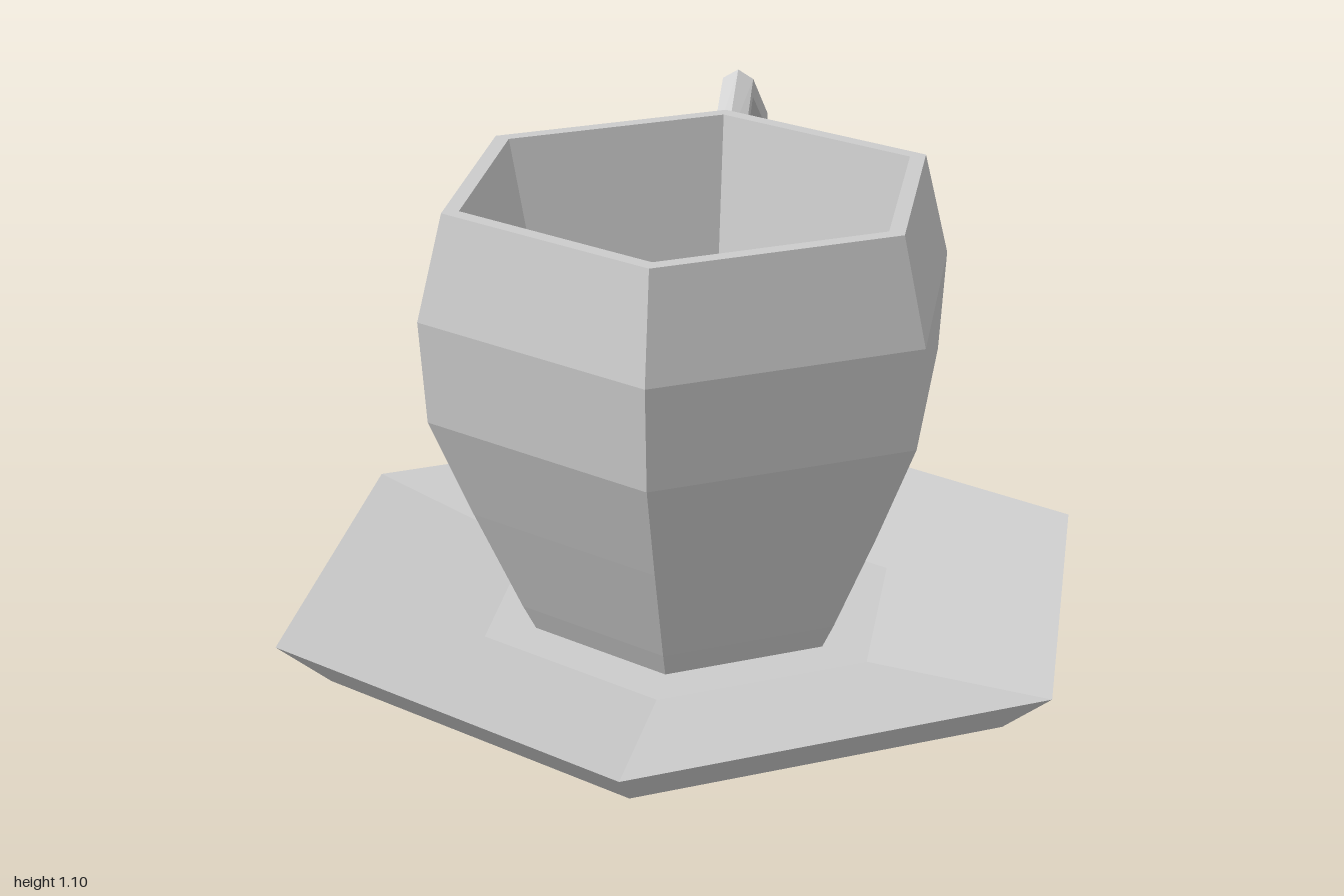
import * as THREE from 'three';

const SIDES = 6;
const CENTRE_Z = 0.015;
const material = new THREE.MeshStandardMaterial({ color: 0xcccccc, flatShading: true });

function addMesh(group, name, geometry) {
  const mesh = new THREE.Mesh(geometry, material);
  mesh.name = name;
  group.add(mesh);
  return mesh;
}

// Six-sided turned solid from a [radius, y] profile, with a corner facing +z
function turned(profile) {
  return new THREE.LatheGeometry(profile.map(([r, y]) => new THREE.Vector2(r, y)), SIDES);
}

// Hexagonal bar through stations of [outer z, outer y, inner z, inner y, half width]
function bar(stations) {
  const positions = [];
  const indices = [];
  for (const [oz, oy, iz, iy, w] of stations) {
    for (let k = 0; k < SIDES; k++) {
      const a = (k / SIDES) * Math.PI * 2;
      const t = (1 - Math.cos(a)) / 2;
      positions.push(
        (w * Math.sin(a)) / Math.sin(Math.PI / 3),
        oy + (iy - oy) * t,
        oz + (iz - oz) * t
      );
    }
  }
  const last = (stations.length - 1) * SIDES;
  for (let s = 0; s < last; s += SIDES) {
    for (let k = 0; k < SIDES; k++) {
      const n = (k + 1) % SIDES;
      indices.push(s + k, s + n, s + SIDES + n, s + k, s + SIDES + n, s + SIDES + k);
    }
  }
  // End caps
  for (let k = 1; k < SIDES - 1; k++) {
    indices.push(0, k + 1, k, last, last + k, last + k + 1);
  }
  const geometry = new THREE.BufferGeometry();
  geometry.setAttribute('position', new THREE.Float32BufferAttribute(positions, 3));
  geometry.setIndex(indices);
  geometry.computeVertexNormals();
  return geometry;
}

export function createModel() {
  const group = new THREE.Group();
  group.name = 'cupAndSaucer';

  // Saucer: flat foot, flared edge, shallow dished top
  addMesh(group, 'saucer', turned([
    [0, 0], [0.86, 0], [0.982, 0.105], [0.5, 0.045], [0, 0.045],
  ])).position.z = CENTRE_Z;

  // Cup: rounded outer wall, flat rim, tapered hollow
  addMesh(group, 'cup', turned([
    [0, 0.04], [0.375, 0.04], [0.408, 0.105], [0.518, 0.35], [0.617, 0.585], [0.633, 0.82],
    [0.572, 1.06], [0.532, 1.06], [0.322, 0.15], [0, 0.15],
  ])).position.z = CENTRE_Z;

  // Handle: angular loop behind the cup
  addMesh(group, 'handle', bar([
    [-0.555, 0.965, -0.58, 0.88, 0.039],
    [-0.774, 1.098, -0.768, 1.01, 0.037],
    [-1.0, 0.938, -0.908, 0.905, 0.048],
    [-0.92, 0.584, -0.849, 0.632, 0.042],
    [-0.758, 0.318, -0.713, 0.4, 0.039],
    [-0.431, 0.22, -0.458, 0.295, 0.037],
  ]));

  return group;
}
